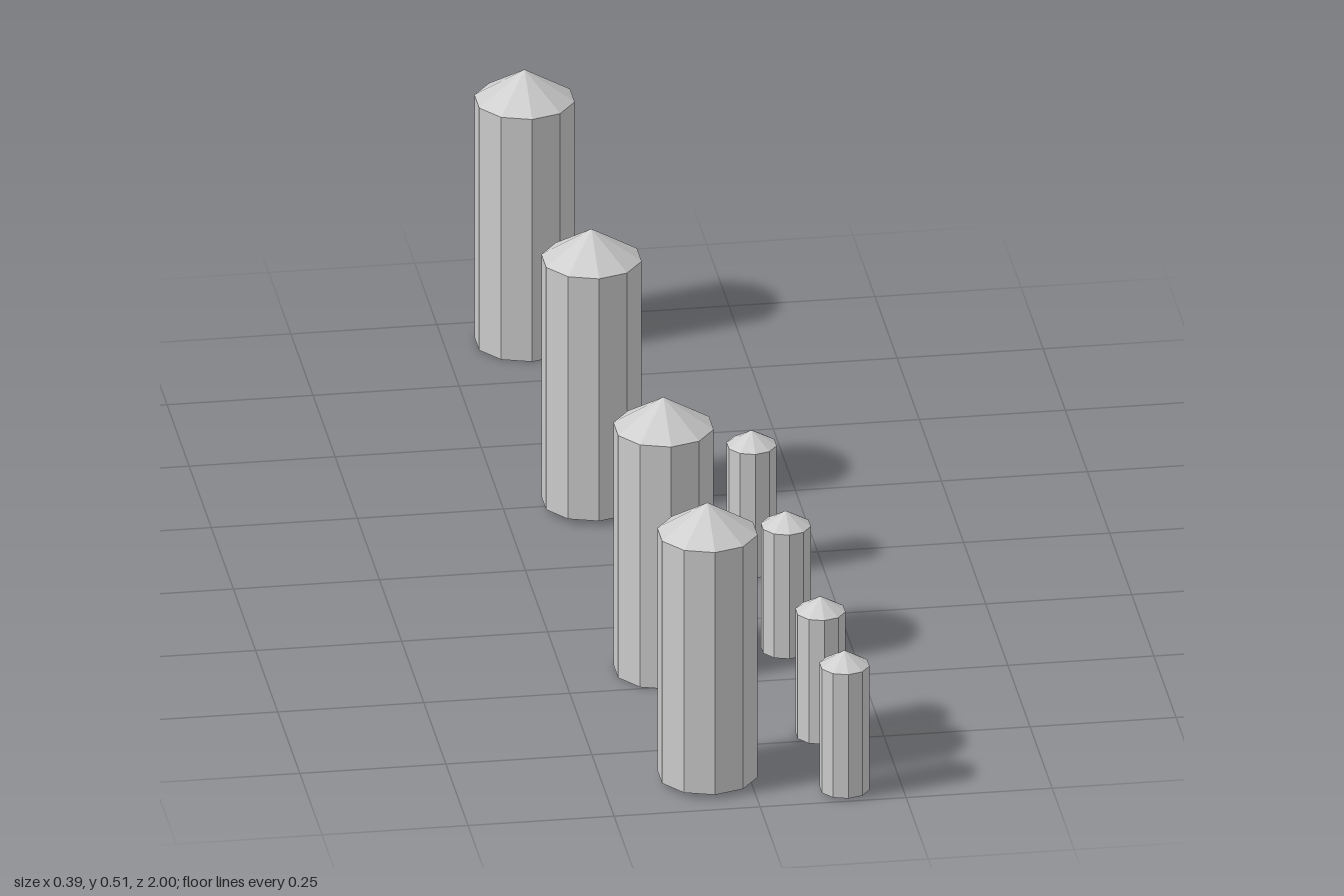
import * as THREE from 'three';

const SIDES = 10;
const material = new THREE.MeshStandardMaterial({ color: 0xcccccc, flatShading: true });

// A ten-sided post with a shallow pointed cap, standing at (x, y, z).
function makePost(name, radius, height, capHeight, [x, y, z]) {
  const post = new THREE.Group();
  post.name = name;

  const shaft = new THREE.Mesh(new THREE.CylinderGeometry(radius, radius, height, SIDES), material);
  shaft.name = 'shaft';
  shaft.position.y = height / 2;

  const cap = new THREE.Mesh(new THREE.ConeGeometry(radius, capHeight, SIDES, 1, true), material);
  cap.name = 'pointedCap';
  cap.position.y = height + capHeight / 2;

  post.add(shaft, cap);
  post.position.set(x, y, z);
  return post;
}

export function createModel() {
  const model = new THREE.Group();
  model.name = 'posts';

  // Row of tall posts, front to back
  const tall = [
    [-0.071, 0.009, 0.874],
    [-0.078, 0, 0.424],
    [-0.1, 0.009, -0.244],
    [-0.113, 0, -0.914],
  ];
  tall.forEach((p, i) => model.add(makePost(`tallPost${i + 1}`, 0.086, 0.452, 0.054, p)));

  // Row of short posts, front to back
  const short = [
    [0.151, 0.005, 0.957],
    [0.145, 0, 0.725],
    [0.137, 0.005, 0.387],
    [0.13, 0, 0.047],
  ];
  short.forEach((p, i) => model.add(makePost(`shortPost${i + 1}`, 0.043, 0.231, 0.026, p)));

  return model;
}
